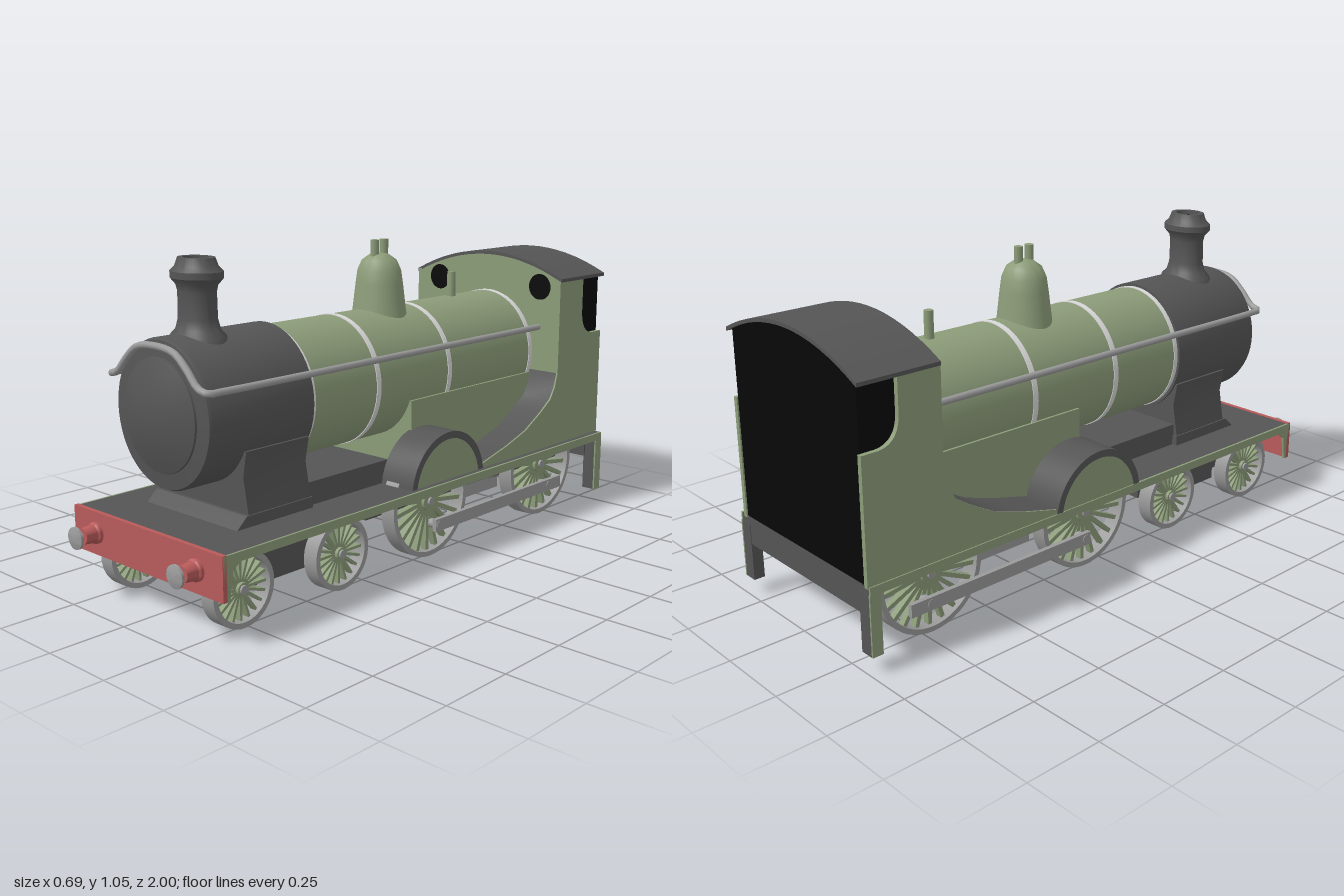
import * as THREE from 'three';
import { toCreasedNormals } from 'three/addons/utils/BufferGeometryUtils.js';

const material = (name, color) => Object.assign(new THREE.MeshStandardMaterial({ color }), { name });

export function createModel() {
  const model = new THREE.Group();
  model.name = 'steamLocomotive';
  const green = material('paleGreen', 0x8c9c79);
  const dark = material('darkGrey', 0x555555);
  const steel = material('steelGrey', 0x9a9a9a);
  const white = material('liningWhite', 0xdadada);
  const red = material('beamRed', 0xb85a5a);
  const black = material('black', 0x080808);

  const add = (name, geometry, mat, parent = model) => {
    const mesh = new THREE.Mesh(geometry, mat);
    mesh.name = name;
    parent.add(mesh);
    return mesh;
  };
  // Box given by its limits on each axis
  const box = (name, mat, x0, x1, y0, y1, z0, z1, parent) => add(name,
    new THREE.BoxGeometry(Math.abs(x1 - x0), y1 - y0, z1 - z0)
      .translate((x0 + x1) / 2, (y0 + y1) / 2, (z0 + z1) / 2), mat, parent);
  const polygon = (points) => new THREE.Shape(points.map(([a, b]) => new THREE.Vector2(a, b)));
  const extrude = (shape, depth) => toCreasedNormals(
    new THREE.ExtrudeGeometry(shape, { depth, bevelEnabled: false, curveSegments: 20 }), 0.6);
  // Outline in (z, y) swept across x
  const acrossX = (name, mat, shape, xa, xb) => add(name,
    extrude(shape, Math.abs(xb - xa)).rotateY(-Math.PI / 2).translate(Math.max(xa, xb), 0, 0), mat);
  // Outline in (x, y) swept along z
  const alongZ = (name, mat, shape, z0, z1) => add(name, extrude(shape, z1 - z0).translate(0, 0, z0), mat);
  const lathe = (points, segments = 40) => toCreasedNormals(
    new THREE.LatheGeometry(points.map(([r, h]) => new THREE.Vector2(r, h)), segments), 0.6);

  // Boiler parts are turned about a lengthwise axis, slightly narrower than tall
  const barrel = (name, mat, points) => {
    const mesh = add(name, lathe(points, 56).rotateX(Math.PI / 2), mat);
    mesh.scale.x = 0.945;
    mesh.position.y = 0.602;
    return mesh;
  };
  barrel('boiler', green, [[0, -0.72], [0.215, -0.72], [0.215, 0.43], [0, 0.43]]);
  barrel('smokebox', dark, [[0, 0.425], [0.2275, 0.425], [0.2275, 0.82], [0.222, 0.833], [0.172, 0.84]]);
  barrel('smokeboxDoor', dark, [[0.174, 0.836], [0.172, 0.846], [0.12, 0.864], [0.06, 0.877], [0, 0.882]]);
  for (const z of [0.418, 0.12, -0.24, -0.71]) {
    barrel('boilerBand', white, [[0.21, z - 0.01], [0.2175, z - 0.01], [0.2175, z + 0.01], [0.21, z + 0.01]]);
  }
  box('firebox', green, -0.2, 0.2, 0.27, 0.53, -0.72, -0.045);
  box('boilerFrame', dark, -0.19, 0.19, 0.27, 0.35, 0.06, 0.44);

  // Saddle below the smokebox
  alongZ('saddle', dark, polygon([[-0.21, 0.27], [0.21, 0.27], [0.205, 0.31], [0.185, 0.42],
    [0.2, 0.5], [-0.2, 0.5], [-0.185, 0.42], [-0.205, 0.31]]), 0.435, 0.69);
  acrossX('saddleFoot', dark, polygon([[0.43, 0.27], [0.745, 0.27], [0.7, 0.31], [0.43, 0.31]]), -0.21, 0.21);

  // Chimney, dome, valves and whistle
  const chimney = add('chimney', lathe([[0.082, 0.79], [0.076, 0.82], [0.06, 0.84], [0.053, 0.87], [0.052, 0.95],
    [0.056, 0.97], [0.071, 0.99], [0.071, 1.01], [0.058, 1.025], [0.05, 1.05], [0.036, 1.05], [0.036, 1.03]]), dark);
  chimney.scale.x = 1.25;
  chimney.position.z = 0.69;
  const flue = add('chimneyHole', new THREE.CircleGeometry(0.038, 32).rotateX(-Math.PI / 2), black);
  flue.scale.x = 1.25;
  flue.position.set(0, 1.036, 0.69);
  const dome = add('dome', lathe([[0.092, 0.77], [0.085, 0.82], [0.076, 0.9], [0.07, 0.945], [0.056, 0.978],
    [0.03, 0.998], [0, 1.004]]), green);
  dome.scale.x = 1.1;
  dome.position.z = -0.105;
  for (const z of [-0.082, -0.128]) {
    add('safetyValve', new THREE.CylinderGeometry(0.015, 0.015, 0.07, 12).translate(0, 1.012, z), green);
  }
  add('whistle', new THREE.CylinderGeometry(0.015, 0.016, 0.12, 16).translate(0, 0.845, -0.495), green);

  // Handrail running along both sides and over the smokebox door
  const half = [[0.228, 0.7, -0.72], [0.228, 0.7, 0.1], [0.228, 0.7, 0.8], [0.222, 0.7, 0.845],
    [0.185, 0.71, 0.85], [0.14, 0.755, 0.85], [0.085, 0.797, 0.85]];
  const railPoints = [...half, [0, 0.808, 0.85], ...half.map(([x, y, z]) => [-x, y, z]).reverse()];
  add('handrail', new THREE.TubeGeometry(new THREE.CatmullRomCurve3(
    railPoints.map((p) => new THREE.Vector3(...p))), 160, 0.011, 10), steel);

  // Footplate, frames and beams
  box('footplate', dark, -0.34, 0.34, 0.247, 0.275, -0.99, 0.905);
  box('mainFrame', dark, -0.2, 0.2, 0.17, 0.25, -0.95, 0.18);
  box('rearBeam', dark, -0.3, 0.3, 0.18, 0.27, -0.99, -0.95);
  box('bufferBeam', red, -0.347, 0.347, 0.14, 0.277, 0.9, 0.915);
  box('bogieBlock', dark, -0.19, 0.19, 0.08, 0.25, 0.435, 0.66);
  box('bogieFrame', dark, -0.138, 0.138, 0.085, 0.165, 0.31, 0.82);

  // Spoked wheel with its axle along x
  const wheel = (name, x, y, z, radius, spokes) => {
    const group = new THREE.Group();
    group.name = name;
    const inner = radius - 0.017;
    add('tyre', lathe([[inner, -0.027], [radius, -0.027], [radius, 0.027], [inner, 0.027], [inner, -0.027]], 48)
      .rotateZ(-Math.PI / 2), steel, group);
    for (let i = 0; i < spokes; i++) {
      add('spoke', new THREE.BoxGeometry(0.022, inner, radius * 0.075)
        .translate(0, inner / 2, 0).rotateX((i / spokes) * Math.PI * 2), green, group);
    }
    add('hub', new THREE.CylinderGeometry(radius * 0.17, radius * 0.17, 0.045, 20).rotateZ(Math.PI / 2), green, group);
    add('axleEnd', new THREE.CylinderGeometry(0.014, 0.014, 0.06, 16).rotateZ(Math.PI / 2), steel, group);
    group.position.set(x, y, z);
    model.add(group);
  };
  for (const [z, radius] of [[0.765, 0.117], [0.355, 0.117], [-0.075, 0.19], [-0.715, 0.19]]) {
    add('axle', new THREE.CylinderGeometry(0.013, 0.013, 0.46, 16).rotateZ(Math.PI / 2).translate(0, radius, z), steel);
  }

  const rampLine = [[-0.72, 0.27], [-0.28, 0.27], [-0.28, 0.29], [-0.42, 0.325], [-0.53, 0.36],
    [-0.62, 0.41], [-0.68, 0.45], [-0.705, 0.49], [-0.72, 0.54]];
  // The right side sheets stand slightly further out than the left
  const rightEdge = -0.343, leftEdge = 0.32;
  for (const s of [-1, 1]) {
    const edge = s < 0 ? rightEdge : leftEdge;
    for (const z of [0.765, 0.355]) wheel('bogieWheel', s * 0.238, 0.117, z, 0.117, 20);
    for (const z of [-0.075, -0.715]) wheel('drivingWheel', s * 0.238, 0.19, z, 0.19, 22);

    box('couplingRod', steel, s * 0.272, s * 0.288, 0.087, 0.13, -0.81, -0.075);
    for (const z of [-0.095, -0.735]) {
      add('crankPin', new THREE.CylinderGeometry(0.016, 0.016, 0.05, 16).rotateZ(Math.PI / 2)
        .translate(s * 0.265, 0.108, z), steel);
    }
    box('brakeBar', steel, s * 0.19, s * 0.2, 0.13, 0.175, -0.53, -0.27);

    // Valance along the footplate edge, dropping behind the buffer beam
    acrossX('valance', green, polygon([[-0.99, 0.247], [0.85, 0.247], [0.878, 0.225], [0.89, 0.14],
      [0.913, 0.14], [0.913, 0.275], [-0.99, 0.275]]), s * 0.339, s * 0.347);
    box('rearStep', dark, s * 0.295, s * 0.341, 0.055, 0.25, -0.992, -0.955);
    box('rearStepFace', green, s * 0.341, s * 0.347, 0.055, 0.25, -0.992, -0.955);

    // Arched cover over the front driving wheel
    const arch = new THREE.Shape();
    arch.absarc(-0.095, 0.25, 0.187, 0, Math.PI, false);
    acrossX('wheelArch', dark, arch, s * 0.19, edge - s * 0.004);
    const rim = new THREE.Shape();
    rim.absarc(-0.095, 0.25, 0.187, 0, Math.PI, false);
    rim.absarc(-0.095, 0.25, 0.163, Math.PI, 0, true);
    acrossX('archRim', dark, rim, edge - s * 0.006, edge + s * 0.003);
    const face = new THREE.Shape();
    face.absarc(-0.095, 0.25, 0.163, 0, Math.PI, false);
    acrossX('archFace', green, face, edge - s * 0.006, edge);

    // Curved sheet sweeping down from the cab over the rear wheel
    acrossX('rearCover', dark, polygon(rampLine), s * 0.19, edge - s * 0.006);
    acrossX('rearCoverSide', green, polygon(rampLine), edge - s * 0.006, edge);

    // Cab side with rounded opening
    const side = new THREE.Shape();
    side.moveTo(-0.72, 0.27).lineTo(-0.72, 0.872).lineTo(-0.867, 0.872).lineTo(-0.867, 0.75);
    side.quadraticCurveTo(-0.87, 0.67, -0.94, 0.665).lineTo(-0.995, 0.665).lineTo(-0.995, 0.27);
    acrossX('cabSide', green, side, edge - s * 0.016, edge);

    // Front window and buffer
    add('cabWindow', new THREE.CircleGeometry(0.047, 32).translate(s * 0.232, 0.848, -0.717), black);
    const buffer = new THREE.Group();
    buffer.name = 'buffer';
    add('bufferHousing', lathe([[0.034, 0.91], [0.034, 0.925], [0.029, 0.93], [0.025, 0.968], [0, 0.968]], 24)
      .rotateX(Math.PI / 2), red, buffer);
    add('bufferStem', new THREE.CylinderGeometry(0.011, 0.011, 0.04, 16).rotateX(Math.PI / 2)
      .translate(0, 0, 0.975), steel, buffer);
    add('bufferHead', lathe([[0, 0.986], [0.035, 0.986], [0.035, 0.994], [0.02, 0.999], [0, 1]], 28)
      .rotateX(Math.PI / 2), steel, buffer);
    buffer.position.set(s * 0.235, 0.212, 0);
    model.add(buffer);
  }

  // Cab front, interior and arched roof share one curve
  const roofArc = (x0, x1, lift) => Array.from({ length: 17 }, (_, i) => {
    const x = x0 + ((x1 - x0) * i) / 16;
    return [x, 0.95 - 0.76 * x * x + lift];
  });
  const wall = (inset) => polygon([[rightEdge + inset, 0.27], [leftEdge - inset, 0.27],
    ...roofArc(leftEdge - inset, rightEdge + inset, 0)]);
  alongZ('cabFront', green, wall(0.001), -0.735, -0.72);
  alongZ('cabInterior', black, wall(0.016), -0.99, -0.735);
  alongZ('cabRoof', dark, polygon([...roofArc(rightEdge - 0.003, leftEdge + 0.003, 0),
    ...roofArc(leftEdge + 0.003, rightEdge - 0.003, 0.012)]), -1, -0.721);

  return model;
}
